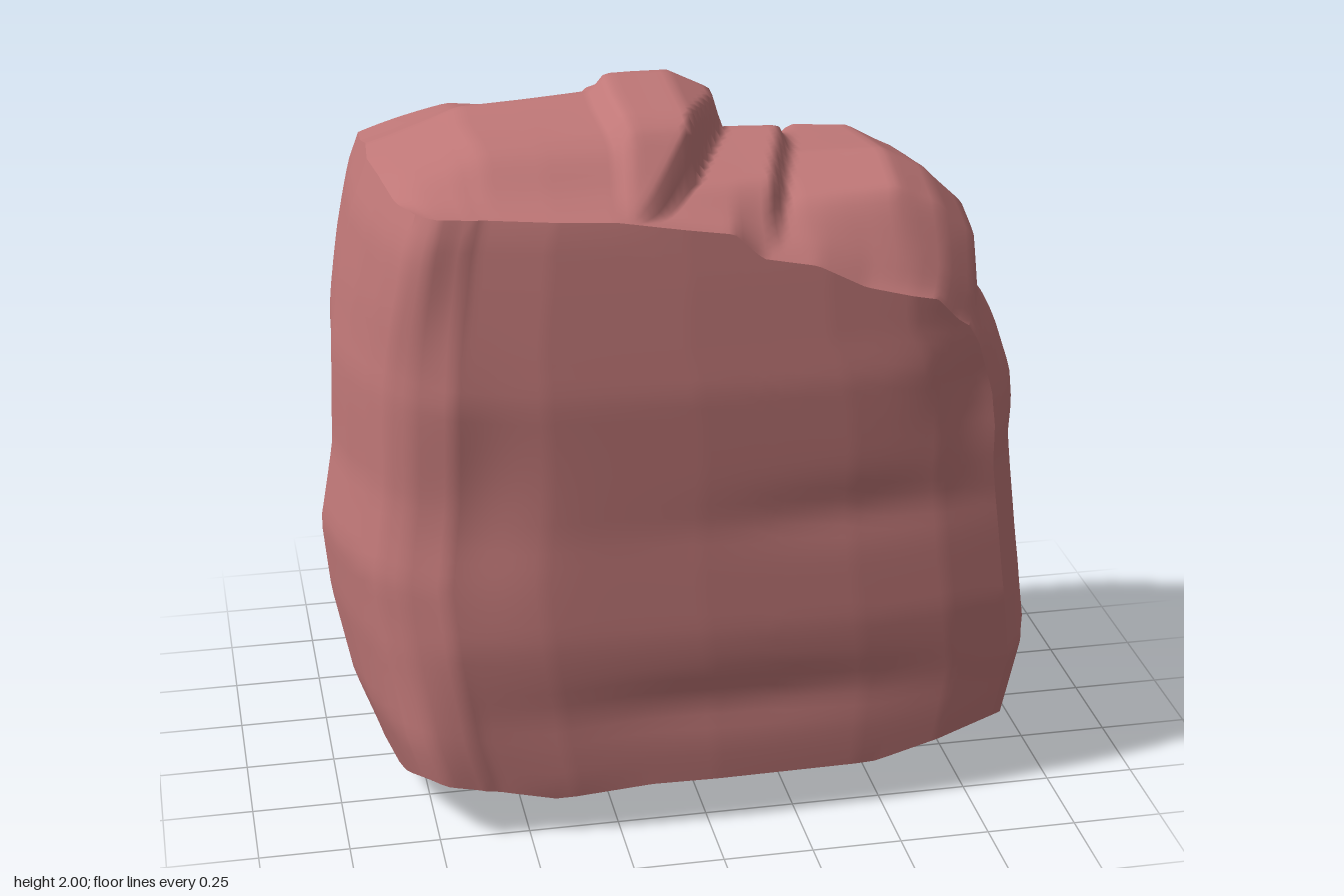
import * as THREE from 'three';

const lerp = THREE.MathUtils.lerp;
const step = THREE.MathUtils.smoothstep;

// Piecewise curve through [t, value] pairs
function curve(p, t) {
  if (t <= p[0][0]) return p[0][1];
  for (let i = 1; i < p.length; i++) {
    if (t <= p[i][0]) {
      const k = (t - p[i - 1][0]) / (p[i][0] - p[i - 1][0]);
      return lerp(p[i - 1][1], p[i][1], k);
    }
  }
  return p[p.length - 1][1];
}

// Soft dent or bulge centred on (ca, cb)
const bump = (a, b, ca, cb, ra, rb, h) => h * Math.exp(-(((a - ca) / ra) ** 2) - ((b - cb) / rb) ** 2);

// Side outlines: height to x
const leftX = [[0.05, -0.84], [0.14, -0.87], [0.3, -0.93], [0.55, -0.98], [0.77, -1], [1, -0.96], [1.3, -0.95], [1.5, -0.92], [1.7, -0.88], [1.9, -0.81]];
const rightX = [[0.05, 0.9], [0.15, 0.94], [0.4, 1], [0.7, 0.96], [1, 0.925], [1.1, 0.93], [1.2, 0.92], [1.35, 0.87], [1.42, 0.82], [1.6, 0.8], [1.72, 0.77]];
// Front and back outlines: height to z
const frontZ = [[0.05, 0.53], [0.14, 0.55], [0.35, 0.555], [0.6, 0.565], [0.9, 0.545], [1.3, 0.545], [1.6, 0.51], [1.75, 0.49], [1.9, 0.45]];
const backZ = [[0.05, -0.46], [0.17, -0.5], [0.35, -0.545], [0.52, -0.565], [0.75, -0.52], [1, -0.46], [1.2, -0.39], [1.4, -0.42], [1.6, -0.415], [1.87, -0.36]];
// Bowing of each wall across its width
const frontBow = [[-1, 0.7], [-0.93, 0.82], [-0.8, 0.94], [-0.5, 0.99], [0, 1], [0.5, 0.98], [0.8, 0.94], [1, 0.87]];
const backBow = [[-1, 0.78], [-0.75, 0.85], [-0.4, 0.93], [-0.1, 1], [0.25, 0.98], [0.6, 0.87], [0.8, 0.76], [1, 0.6]];
const leftBow = [[-1, 0.87], [-0.6, 0.95], [0, 1], [0.4, 0.97], [0.75, 0.925], [1, 0.885]];
const rightBow = [[-1, 0.88], [-0.6, 0.95], [0, 1], [0.5, 0.975], [0.8, 0.93], [1, 0.87]];

// Top surface: a tall lump, a narrow middle ledge and a lower shoulder
const lumpEdge = [[-0.03, 0.15], [0.27, 0.01], [0.45, -0.18]];
const lumpX = [[-0.85, 1.83], [-0.58, 1.93], [-0.2, 1.955], [-0.16, 2], [0.02, 2], [0.17, 1.93]];
const lumpZ = [[-0.37, -0.12], [-0.2, -0.06], [-0.08, 0], [0.2, -0.035], [0.35, -0.1]];
const ledgeZ = [[-0.37, 1.7], [-0.2, 1.78], [-0.05, 1.84], [0.3, 1.79], [0.46, 1.7]];
const shoulderX = [[0.2, 1.74], [0.35, 1.775], [0.62, 1.79], [0.74, 1.73], [0.82, 1.63]];
const shoulderZ = [[-0.37, -0.035], [-0.2, -0.02], [0, 0], [0.2, -0.025], [0.35, -0.06]];
const frontRim = [[-0.82, 1.8], [-0.22, 1.77], [0.14, 1.72], [0.22, 1.65], [0.38, 1.62], [0.52, 1.55], [0.74, 1.49], [0.82, 1.4]];
function topY(x, z) {
  const edge = curve(lumpEdge, z);
  const crease = lerp(0.24, 0.44, (0.46 - z) / 0.8);
  const lump = curve(lumpX, x) + curve(lumpZ, z) * lerp(0.45, 1, step(x, -0.8, -0.2));
  const shoulder = curve(shoulderX, x) + curve(shoulderZ, z);
  const right = lerp(curve(ledgeZ, z), shoulder, step(x, crease - 0.03, crease + 0.02));
  const top = lerp(lump, right, step(x, edge - 0.01, edge + 0.035));
  return lerp(top, curve(frontRim, x), step(z, 0.25, 0.46));
}

// Underside: a shallow uneven keel
const bottomX = [[-0.85, 0.07], [-0.5, 0], [-0.2, 0.025], [0.5, 0.02], [0.87, 0.1]];
const bottomZ = [[-0.5, 0.15], [-0.35, 0.07], [-0.17, 0], [0, 0.02], [0.3, 0.025], [0.45, 0.08], [0.55, 0.115]];
const bottomY = (x, z) => curve(bottomX, x) + curve(bottomZ, z);

// Moves one point of a box (u, v, w in -1..1) onto the boulder
function shape(u, v, w, p) {
  const k = (w + 1) / 2;
  const y = lerp(
    bottomY(u * 0.87, lerp(-0.5, 0.55, k)),
    topY(u * 0.82, lerp(-0.37, 0.46, k)),
    (v + 1) / 2
  );
  // The upper side walls stay square towards the back
  const square = w < 0 ? 0.75 * step(y, 1.0, 1.4) : 0;
  const xl = curve(leftX, y) * lerp(curve(leftBow, w), 1, square);
  const xr = curve(rightX, y) * lerp(curve(rightBow, w), 1, square);
  const x = lerp(xl, xr, (u + 1) / 2);
  // The front left corner is rounded at mid height and squarer at both ends
  const corner = 0.15 * step(-u, 0.75, 1) * (1 - step(y, 0.15, 0.65) + step(y, 1.3, 1.75));
  let zf = curve(frontZ, y) * (curve(frontBow, u) + corner);
  let zb = curve(backZ, y) * (curve(backBow, u) + 0.13 * step(-u, 0.2, 1) * step(y, 0.8, 1.25));
  // Weathered dents and ledges on the two broad walls
  zf += bump(x, y, -0.65, 1.0, 0.16, 0.25, -0.03) + bump(x, y, 0.1, 0.38, 0.5, 0.08, -0.018);
  zf += bump(x, y, 0.4, 0.92, 0.35, 0.08, -0.012) + bump(x, y, 0.78, 1.25, 0.15, 0.2, -0.035);
  zb += bump(x, y, -0.3, 1.2, 0.4, 0.1, 0.02) + bump(x, y, 0.2, 0.95, 0.5, 0.05, 0.02);
  zb += bump(x, y, 0.6, 1.75, 0.25, 0.3, 0.06) + bump(x, y, -0.1, 1.45, 0.25, 0.12, 0.025);
  p.set(x, y, lerp(zb, zf, k));
}

// Rounded edges: right wall to top, and left wall to front
function isSoft(p) {
  return (p.x > 0.999 && p.y > 0.999 && Math.abs(p.z) < 0.999)
    || (p.x < -0.999 && p.z > 0.999 && Math.abs(p.y) < 0.999);
}

export function createModel() {
  const group = new THREE.Group();
  group.name = 'boulder';
  const stone = new THREE.MeshStandardMaterial({ color: 0xbf7777 });
  stone.name = 'dusty red stone';

  // Six walls, smooth inside and sharp along most edges
  const geometry = new THREE.BoxGeometry(2, 2, 2, 80, 40, 40);
  const pos = geometry.attributes.position;
  const p = new THREE.Vector3();
  const softEdges = new Map();
  for (let i = 0; i < pos.count; i++) {
    p.fromBufferAttribute(pos, i);
    if (isSoft(p)) {
      const key = [p.x, p.y, p.z].map((n) => n.toFixed(3)).join();
      softEdges.set(key, [...(softEdges.get(key) || []), i]);
    }
    shape(p.x, p.y, p.z, p);
    pos.setXYZ(i, p.x, p.y, p.z);
  }
  geometry.clearGroups();
  geometry.computeVertexNormals();

  // Share normals across the rounded edges
  const normal = geometry.attributes.normal;
  for (const ids of softEdges.values()) {
    const sum = new THREE.Vector3();
    ids.forEach((i) => sum.add(p.fromBufferAttribute(normal, i)));
    sum.normalize();
    ids.forEach((i) => normal.setXYZ(i, sum.x, sum.y, sum.z));
  }

  const rock = new THREE.Mesh(geometry, stone);
  rock.name = 'rock';
  group.add(rock);
  return group;
}
